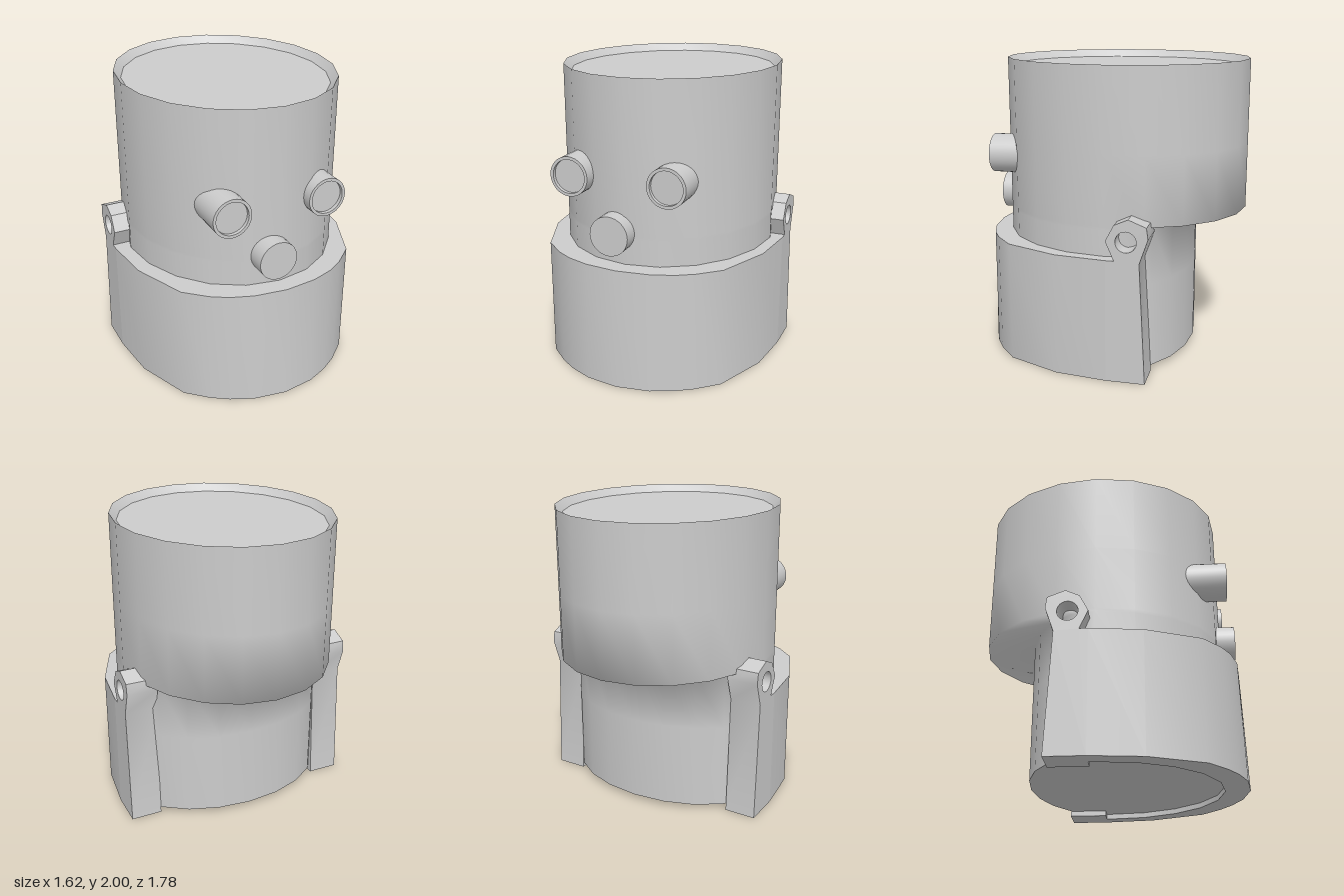
import * as THREE from 'three';
import { mergeVertices, toCreasedNormals } from 'three/addons/utils/BufferGeometryUtils.js';

const SIDES = 20;
const V2 = (x, y) => new THREE.Vector2(x, y);

// oval cross-section of the body: the lower half is shallower at the back
function toOval(geometry) {
  const p = geometry.attributes.position;
  for (let i = 0; i < p.count; i++) {
    const back = p.getY(i) < 0.99 ? 0.48 : 0.82;
    const z = p.getZ(i);
    p.setXYZ(i, p.getX(i) * 0.72 + 0.01, p.getY(i), z * (z < 0 ? back : 0.82) - 0.07);
  }
  return geometry;
}

function lathe(points, sides) {
  return new THREE.LatheGeometry(points.map(([r, y]) => V2(r, y)), sides);
}

export function createModel() {
  const model = new THREE.Group();
  const material = new THREE.MeshStandardMaterial({ color: 0xcccccc, side: THREE.DoubleSide });
  const add = (name, geometry, x = 0, y = 0, z = 0) => {
    const mesh = new THREE.Mesh(geometry, material);
    mesh.name = name;
    mesh.position.set(x, y, z);
    model.add(mesh);
    return mesh;
  };

  // body wall, smoothly shaded across the overhang at the back
  let wall = toOval(lathe([[1, 0.035], [1, 0.6], [1, 0.98], [1, 1], [1, 1.45], [1, 2]], SIDES));
  wall.deleteAttribute('normal');
  wall.deleteAttribute('uv');
  wall = mergeVertices(wall);
  wall.computeVertexNormals();
  add('bodyWall', wall);

  // recessed top and flat bottom
  add('bodyTop', toCreasedNormals(toOval(lathe([[1, 2], [0.935, 1.95], [0, 1.95]], SIDES)), 0.4));
  add('bodyBottom', toCreasedNormals(toOval(lathe([[0, 0.035], [1, 0.035]], SIDES)), 0.4));

  // collar wrapped around the front, slightly tapered at its foremost part
  const half = [[0.81, -0.1], [0.77, 0.24], [0.62, 0.6], [0.48, 0.725], [0.37, 0.795], [0.22, 0.86]];
  const outer = [...half, [0, 0.893], ...half.map(([x, z]) => [-x, z]).reverse()];
  const inner = [];
  for (let i = -5; i <= 5; i++) {
    const a = (i / SIDES) * Math.PI * 2;
    inner.push([Math.sin(a) * 0.7 + 0.01, Math.cos(a) * 0.8 - 0.07]);
  }
  inner[0][1] = inner[10][1] = -0.1;
  const collarShape = new THREE.Shape([...outer, ...inner].map(([x, z]) => V2(x, -z)));
  const collar = new THREE.ExtrudeGeometry(collarShape, { depth: 0.81, bevelEnabled: false });
  collar.rotateX(-Math.PI / 2);
  const p = collar.attributes.position;
  for (let i = 0; i < p.count; i++) {
    const z = p.getZ(i);
    if (p.getY(i) > 0.5 && z > 0.78) p.setZ(i, z - (z - 0.77) * 0.2);
  }
  add('collar', toCreasedNormals(collar, 0.6));

  // side arms ending in a hinge eye, outlined as [z, y]
  const outline = [[-0.1, 0], [-0.1, 0.81], [-0.155, 0.81], [-0.1, 0.935], [-0.155, 1.04],
    [-0.245, 1.08], [-0.36, 1.035], [-0.37, 0.96], [-0.315, 0.8], [-0.355, 0]];
  const armShape = new THREE.Shape(outline.map(([z, y]) => V2(-z, y)));
  armShape.holes.push(new THREE.Path().absarc(0.23, 0.935, 0.067, 0, Math.PI * 2, true));
  const arm = new THREE.ExtrudeGeometry(armShape, { depth: 0.21, bevelEnabled: false, curveSegments: 12 });
  arm.rotateY(Math.PI / 2);
  const armGeometry = toCreasedNormals(arm, 0.55);
  add('leftArm', armGeometry, 0.6);
  add('rightArm', armGeometry, -0.81);

  // eyes: short tubes with a shallow recess
  const eye = toCreasedNormals(
    lathe([[0.13, 0], [0.13, 0.29], [0.11, 0.29], [0.11, 0.265], [0, 0.265]], 32).rotateX(Math.PI / 2), 0.6);
  add('leftEye', eye, 0.31, 1.36, 0.5);
  add('rightEye', eye, -0.35, 1.36, 0.5);

  // nose: a plain button
  const nose = new THREE.CylinderGeometry(0.13, 0.13, 0.2, 32).rotateX(Math.PI / 2);
  add('nose', nose, -0.055, 1.02, 0.743);

  return model;
}
